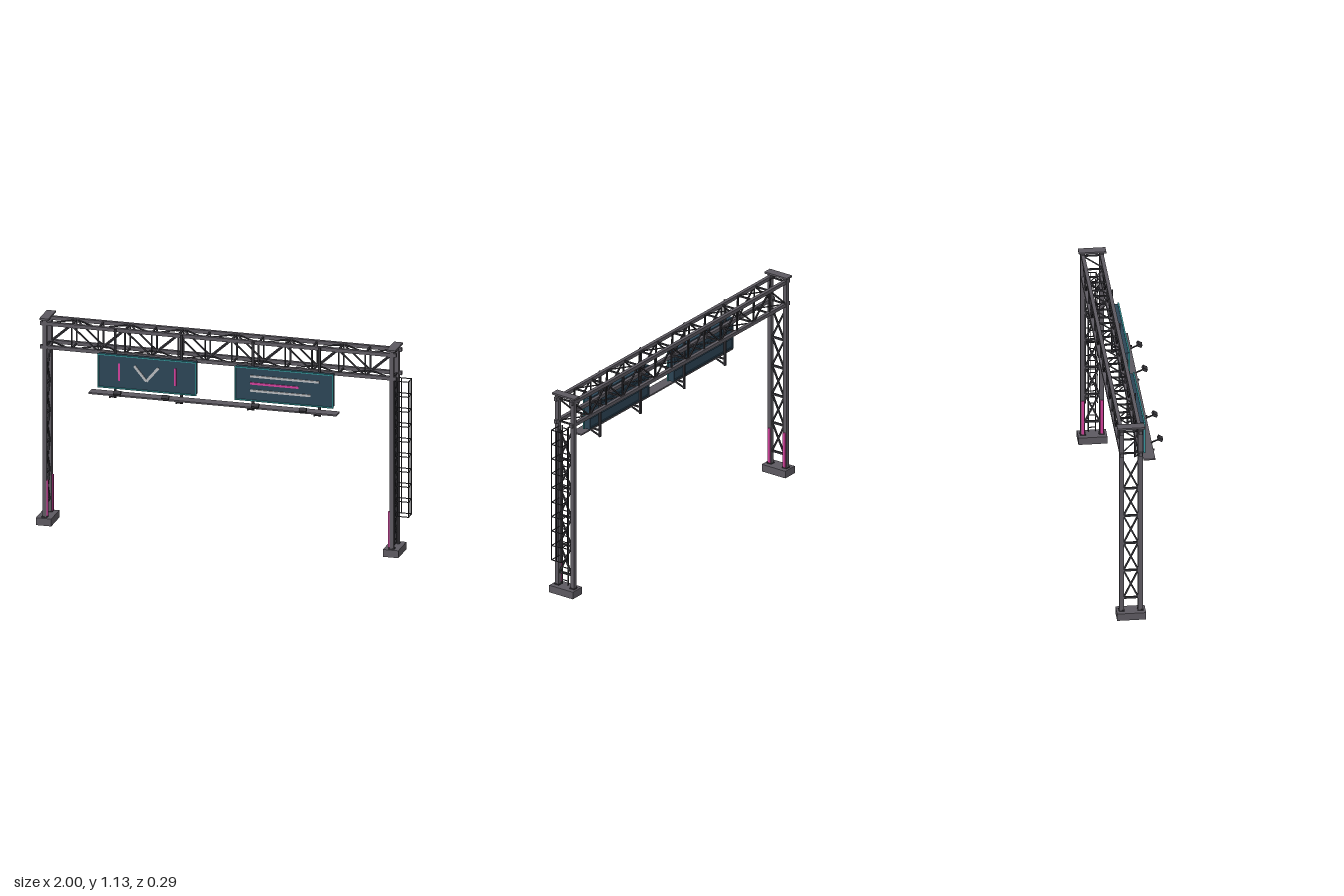
import * as THREE from 'three';

const mat = (name, color) => {
  const m = new THREE.MeshStandardMaterial({ color });
  m.name = name;
  return m;
};

export function createModel() {
  const steel = mat('steel grey', 0x5d5a61);
  const dark = mat('dark steel', 0x36353a);
  const navy = mat('panel blue', 0x2c4455);
  const teal = mat('teal trim', 0x359a9e);
  const pink = mat('magenta', 0xd0409a);
  const pale = mat('pale grey', 0xb4b7ba);

  const root = new THREE.Group();
  root.name = 'signGantry';
  const group = (name, parent = root) => {
    const g = new THREE.Group();
    g.name = name;
    parent.add(g);
    return g;
  };
  const box = (parent, name, m, w, h, d, x, y, z) => {
    const mesh = new THREE.Mesh(new THREE.BoxGeometry(w, h, d), m);
    mesh.name = name;
    mesh.position.set(x, y, z);
    parent.add(mesh);
    return mesh;
  };
  // Square bar between two points
  const up = new THREE.Vector3(0, 1, 0);
  const bar = (parent, name, m, t, a, b, t2 = t) => {
    const p = new THREE.Vector3(...a), q = new THREE.Vector3(...b);
    const dir = q.clone().sub(p);
    const mesh = box(parent, name, m, t, dir.length(), t2, 0, 0, 0);
    mesh.position.copy(p).add(q).multiplyScalar(0.5);
    mesh.quaternion.setFromUnitVectors(up, dir.normalize());
    return mesh;
  };

  const X0 = -0.957, X1 = 0.913, XM = (X0 + X1) / 2;
  const ZF = -0.019, ZB = -0.117, ZM = -0.068;
  const YT = 1.098, YB = 0.97;

  // Towers: footing, twin posts, cross lacing, cap
  for (const [x, inward] of [[X0, 1], [X1, -1]]) {
    const t = group(inward > 0 ? 'rightTower' : 'leftTower');
    box(t, 'footing', steel, 0.083, 0.04, 0.151, x, 0.02, ZM);
    box(t, 'cap', steel, 0.048, 0.01, 0.143, x, 1.125, ZM);
    for (const z of [ZF, ZB]) {
      box(t, 'post', steel, 0.022, 1.08, 0.024, x, 0.58, z);
      box(t, 'basePlate', dark, 0.03, 0.005, 0.03, x, 0.042, z);
      box(t, 'reflectorStrip', pink, 0.007, 0.195, 0.016, x + inward * 0.0145, 0.145, z);
    }
    for (let i = 0; i < 5; i++) {
      const y = 0.113 + i * 0.162, y2 = y + 0.162;
      bar(t, 'lacingStrut', dark, 0.01, [x, y, ZF], [x, y, ZB]);
      bar(t, 'lacingBrace', dark, 0.008, [x, y, ZF - 0.01], [x, y2, ZB + 0.01]);
      bar(t, 'lacingBrace', dark, 0.008, [x, y, ZB + 0.01], [x, y2, ZF - 0.01]);
    }
  }

  // Box truss spanning the towers
  const truss = group('truss');
  for (const y of [YT, YB]) for (const z of [ZF, ZB])
    box(truss, 'chord', steel, 1.92, 0.019, 0.019, XM, y, z);
  const N = 13, step = (X1 - X0) / N;
  for (let i = 0; i <= N; i++) {
    const x = X0 + i * step, x2 = x + step, odd = i % 2;
    for (const y of [YT, YB]) bar(truss, 'crossTie', dark, 0.008, [x, y, ZF], [x, y, ZB]);
    for (const z of [ZF, ZB]) {
      bar(truss, 'upright', dark, 0.007, [x, YB, z], [x, YT, z]);
      if (i < N) bar(truss, 'diagonal', dark, 0.007, [x, odd ? YT : YB, z], [x2, odd ? YB : YT, z]);
    }
    if (i < N) {
      bar(truss, 'topBrace', dark, 0.006, [x, YT, odd ? ZB : ZF], [x2, YT, odd ? ZF : ZB]);
      bar(truss, 'bottomBrace', dark, 0.006, [x, YB, odd ? ZF : ZB], [x2, YB, odd ? ZB : ZF]);
    }
  }

  // Sign cabinets with front trim and rear ribs
  const W = 0.524, H = 0.176, SY = 0.887;
  for (const [name, x] of [['rightSign', -0.392], ['leftSign', 0.347]]) {
    const s = group(name);
    box(s, 'cabinet', navy, W, H, 0.029, x, SY, 0.0185);
    for (const k of [-1, 1]) {
      box(s, 'trimRail', teal, W + 0.008, 0.006, 0.008, x, SY + k * (H / 2 + 0.001), 0.036);
      box(s, 'trimSide', teal, 0.006, H, 0.008, x + k * (W / 2 + 0.001), SY, 0.036);
    }
    for (let i = 0; i < 4; i++)
      box(s, 'rearRib', navy, W, 0.007, 0.006, x, SY - 0.081 + i * 0.054, 0.002);
    for (const k of [-1, 1]) box(s, 'rearEdge', navy, 0.007, H, 0.006, x + k * (W / 2 - 0.0035), SY, 0.002);
  }

  // Display markings
  const marks = group('displayMarkings');
  const ZP = 0.035;
  for (const x of [-0.543, -0.24]) box(marks, 'sideBar', pink, 0.011, 0.094, 0.005, x, SY, ZP);
  for (const x of [-0.46, -0.33])
    bar(marks, 'chevronArm', pale, 0.014, [x, 0.928, ZP], [-0.395, 0.85, ZP], 0.005);
  for (const [m, y, len] of [[pale, 0.93, 0.374], [pink, 0.891, 0.262], [pale, 0.852, 0.326]])
    box(marks, 'messageLine', m, len, 0.012, 0.005, 0.163 + len / 2, y, ZP);

  // Hangers and walkway brackets
  const hang = group('hangers');
  for (const x of [-0.575, -0.217, 0.168, 0.526]) {
    box(hang, 'hanger', dark, 0.012, 0.375, 0.009, x, 0.918, -0.005);
    bar(hang, 'bracketArm', dark, 0.008, [x, 0.767, -0.005], [x, 0.767, 0.097]);
    bar(hang, 'bracketBrace', dark, 0.007, [x, 0.735, -0.005], [x, 0.766, 0.082]);
  }
  const walk = group('walkway');
  box(walk, 'deck', steel, 1.336, 0.008, 0.061, -0.024, 0.775, 0.058);

  // Sign lights on short arms
  for (const x of [-0.524, -0.265, 0.219, 0.476]) {
    const l = group('signLight');
    bar(l, 'lightStem', dark, 0.006, [x, 0.777, 0.086], [x, 0.786, 0.094]);
    bar(l, 'lightArm', dark, 0.006, [x, 0.785, 0.094], [x, 0.8, 0.13]);
    box(l, 'lightHead', dark, 0.038, 0.015, 0.025, x, 0.803, 0.131).rotation.x = 0.5;
  }

  // Ladder and safety cage on the left tower
  const ladder = group('ladder');
  const LX = 0.918;
  for (const z of [-0.05, -0.087]) box(ladder, 'ladderRail', dark, 0.006, 0.9, 0.006, LX, 0.502, z);
  for (let i = 0; i < 25; i++)
    box(ladder, 'rung', dark, 0.004, 0.004, 0.037, LX, 0.075 + i * 0.036, -0.0685);
  const cage = group('ladderCage');
  const zA = -0.038, zC = -0.099, xi = 0.941, xo = 0.996;
  for (const [x, z] of [[xi, zA], [xi, zC], [xo, zA], [xo, zC], [xo, (zA + zC) / 2]])
    box(cage, 'cageBar', dark, 0.004, 0.742, 0.004, x, 0.581, z);
  for (let i = 0; i < 10; i++) {
    const y = 0.212 + i * 0.082;
    for (const z of [zA, zC]) bar(cage, 'hoopSide', dark, 0.004, [LX + 0.01, y, z], [xo, y, z]);
    bar(cage, 'hoopFront', dark, 0.004, [xo, y, zA], [xo, y, zC]);
  }
  return root;
}
